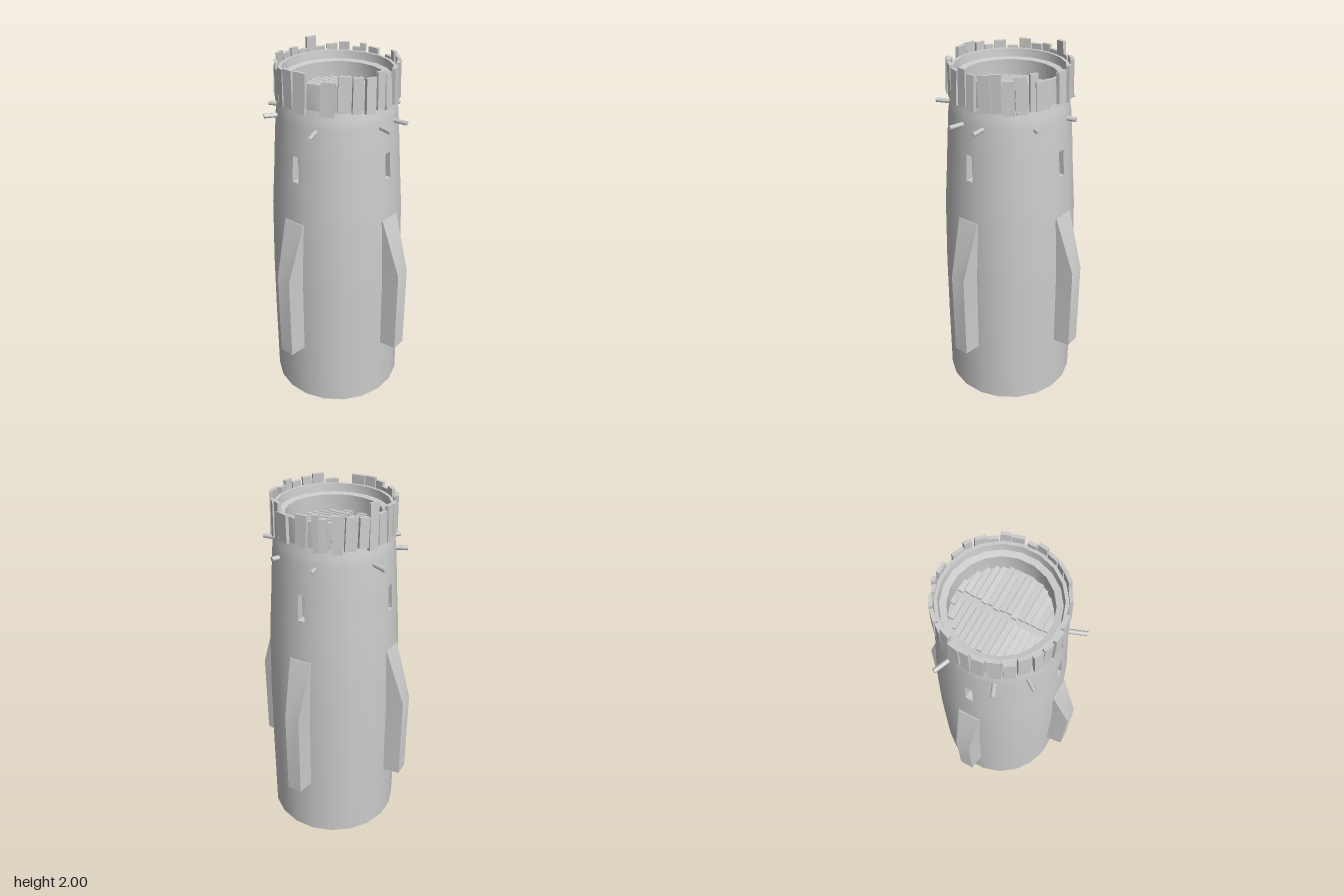
import * as THREE from 'three';
import { toCreasedNormals } from 'three/addons/utils/BufferGeometryUtils.js';

const mat = new THREE.MeshStandardMaterial({ color: 0xcccccc, side: THREE.DoubleSide });
const SIDES = 20, STEP = Math.PI * 2 / SIDES, HALF = STEP / 2;

function add(parent, name, geometry) {
  const mesh = new THREE.Mesh(geometry, mat);
  mesh.name = name;
  parent.add(mesh);
  return mesh;
}

function lathe(points, sides = SIDES, start = HALF) {
  return new THREE.LatheGeometry(points.map(p => new THREE.Vector2(...p)), sides, start, sides * STEP);
}

function seeded(seed) {
  return () => (seed = (seed * 16807) % 2147483647) / 2147483647;
}

// Window belt: bottom and top height and wall radius
const Y0 = 1.4, R0 = 0.34, Y1 = 1.54, R1 = 0.331, SLIT = 0.02;

// Wall strip beside a slit, from x0 to x1 on the facet facing +z
function wallStrip(side) {
  const pos = [], nor = [];
  for (const [y, r] of [[Y0, R0], [Y1, R1]]) {
    const corner = r * Math.sin(HALF), z = r * Math.cos(HALF);
    const xs = side > 0 ? [SLIT, corner] : [-corner, -SLIT];
    for (const x of xs) {
      pos.push(x, y, z);
      const n = new THREE.Vector3(x, 0.02, z).normalize();
      nor.push(n.x, n.y, n.z);
    }
  }
  const g = new THREE.BufferGeometry();
  g.setAttribute('position', new THREE.Float32BufferAttribute(pos, 3));
  g.setAttribute('normal', new THREE.Float32BufferAttribute(nor, 3));
  g.setIndex([0, 1, 3, 0, 3, 2]);
  return g;
}

// Slit pocket: a box without its front, its mouth following the sloping wall
function slitPocket() {
  const g = new THREE.BoxGeometry(SLIT * 2, Y1 - Y0, 1);
  const p = g.attributes.position;
  for (let i = 0; i < p.count; i++) {
    const r = p.getY(i) > 0 ? R1 : R0;
    p.setZ(i, p.getZ(i) > 0 ? r * Math.cos(HALF) : 0.29);
  }
  g.translate(0, (Y0 + Y1) / 2, 0);
  const index = Array.from(g.index.array);
  index.splice(24, 6);
  // the walls are seen from inside, so turn them round
  for (let i = 0; i < index.length; i += 3) [index[i], index[i + 1]] = [index[i + 1], index[i]];
  g.setIndex(index);
  return toCreasedNormals(g, 0.5);
}

// Hollow buttress: rows of [y, outer z, outer half width, root z, root half width]
function buttressGeometry() {
  const rows = [
    [0.36, 0.458, 0.041, 0.36, 0.055],
    [0.86, 0.458, 0.041, 0.355, 0.055],
    [1.175, 0.357, 0.062, 0.345, 0.063],
  ];
  const pos = [], idx = [];
  for (const [y, zo, wo, zi, wi] of rows) pos.push(-wi, y, zi, -wo, y, zo, wo, y, zo, wi, y, zi);
  for (let r = 0; r < rows.length - 1; r++) {
    for (let c = 0; c < 3; c++) {
      const a = r * 4 + c;
      idx.push(a, a + 1, a + 5, a, a + 5, a + 4);
    }
  }
  idx.push(8, 9, 10, 8, 10, 11);
  const g = new THREE.BufferGeometry();
  g.setAttribute('position', new THREE.Float32BufferAttribute(pos, 3));
  g.setIndex(idx);
  return toCreasedNormals(g, 0.6);
}

export function createModel() {
  const tower = new THREE.Group();
  tower.name = 'tower';
  const rand = seeded(77);
  const jitter = s => (rand() - 0.5) * 2 * s;

  // Tapering wall, open at the foot
  add(tower, 'lowerWall', lathe([[0.37, 0], [0.37, 0.4], [0.367, 0.8], [0.357, 1.17], [R0, Y0]]));
  add(tower, 'upperWall', lathe([[R1, Y1], [0.319, 1.7], [0.313, 1.74], [0.302, 1.79]]));

  // Rim with an inner ledge around the sunken floor
  add(tower, 'rim', toCreasedNormals(lathe([
    [0.302, 1.79], [0.302, 1.92], [0.285, 1.92], [0.28, 1.878], [0.248, 1.872], [0.248, 1.765], [0, 1.765],
  ]), 0.5));

  // Four sides: window belt, slit and buttress
  for (let k = 0; k < 4; k++) {
    const side = new THREE.Group();
    side.name = 'side' + (k + 1);
    side.rotation.y = k * Math.PI / 2;
    add(side, 'beltWall', lathe([[R0, Y0], [R1, Y1]], 4, HALF));
    add(side, 'slitWallLeft', wallStrip(1));
    add(side, 'slitWallRight', wallStrip(-1));
    add(side, 'slitWindow', slitPocket());
    add(side, 'buttress', buttressGeometry());
    tower.add(side);
  }

  // Floor slats in two columns, running under the ledge
  const slats = new THREE.Group();
  slats.name = 'floorSlats';
  for (let row = -7; row <= 7; row++) {
    const z = row * 0.0318;
    const reach = Math.sqrt(0.244 ** 2 - (Math.abs(z) + 0.012) ** 2);
    for (const s of [-1, 1]) {
      const inner = 0.017 * s - 0.009 + jitter(0.008);
      const outer = s * Math.min(reach, 0.225 + jitter(0.012));
      const slat = add(slats, 'slat', new THREE.BoxGeometry(Math.abs(outer - inner), 0.016, 0.025));
      slat.position.set((inner + outer) / 2, 1.785, z);
      slat.rotation.x = 0.12 + jitter(0.08);
    }
  }
  tower.add(slats);

  // Crown of uneven boards: [x, z, width, top]
  const boards = [
    [0, -0.31, 0.06, 1.95], [-0.075, -0.31, 0.03, 1.96], [-0.11, -0.3, 0.04, 1.94], [-0.17, -0.27, 0.055, 1.96],
    [-0.22, -0.225, 0.06, 1.95], [-0.262, -0.175, 0.05, 1.94], [-0.285, -0.125, 0.055, 2.0], [-0.3, -0.07, 0.06, 1.94],
    [-0.31, -0.01, 0.045, 1.96], [-0.305, 0.05, 0.06, 1.95], [-0.285, 0.12, 0.06, 1.97], [-0.255, 0.18, 0.055, 1.93],
    [-0.21, 0.23, 0.06, 1.96], [-0.155, 0.27, 0.05, 1.94], [-0.115, 0.29, 0.05, 1.96], [-0.05, 0.308, 0.06, 1.97],
    [0.022, 0.312, 0.07, 1.97], [0.16, 0.27, 0.07, 1.94], [0.22, 0.22, 0.06, 1.97], [0.262, 0.17, 0.05, 1.96],
    [0.29, 0.11, 0.055, 1.95], [0.308, 0.05, 0.05, 1.97], [0.312, -0.005, 0.045, 1.95], [0.302, -0.08, 0.06, 1.96],
    [0.282, -0.135, 0.05, 1.97], [0.252, -0.185, 0.06, 1.94], [0.212, -0.23, 0.055, 1.96], [0.165, -0.272, 0.04, 1.97],
    [0.122, -0.288, 0.08, 1.93],
  ];
  const crown = new THREE.Group();
  crown.name = 'crown';
  boards.forEach(([x, z, width, top]) => {
    const bottom = 1.782 + jitter(0.012);
    const board = add(crown, 'crownBoard', new THREE.BoxGeometry(width, top - bottom, 0.018));
    const a = Math.atan2(x, z), r = 0.311 + jitter(0.003);
    board.position.set(Math.sin(a) * r, (top + bottom) / 2, Math.cos(a) * r);
    board.rotation.set(-0.03 + jitter(0.03), a + jitter(0.06), jitter(0.05), 'YXZ');
  });
  tower.add(crown);

  // Pegs driven into the wall below the crown: [x, z] at root, [x, z] at tip
  const pegs = [
    [-0.29, -0.12, -0.37, -0.153], [0.3, -0.069, 0.385, -0.075], [0.3, 0.048, 0.39, 0.071], [0.105, 0.29, 0.142, 0.388],
    [-0.19, 0.245, -0.233, 0.304], [-0.28, 0.118, -0.35, 0.147], [-0.065, -0.3, -0.077, -0.357], [0.15, -0.265, 0.176, -0.312],
  ];
  for (const [x0, z0, x1, z1] of pegs) {
    const dir = new THREE.Vector3(x1 - x0, 0, z1 - z0);
    const peg = add(tower, 'peg', new THREE.CylinderGeometry(0.012, 0.012, dir.length(), 8));
    peg.position.set((x0 + x1) / 2, 1.69, (z0 + z1) / 2);
    peg.quaternion.setFromUnitVectors(new THREE.Vector3(0, 1, 0), dir.normalize());
  }
  return tower;
}
